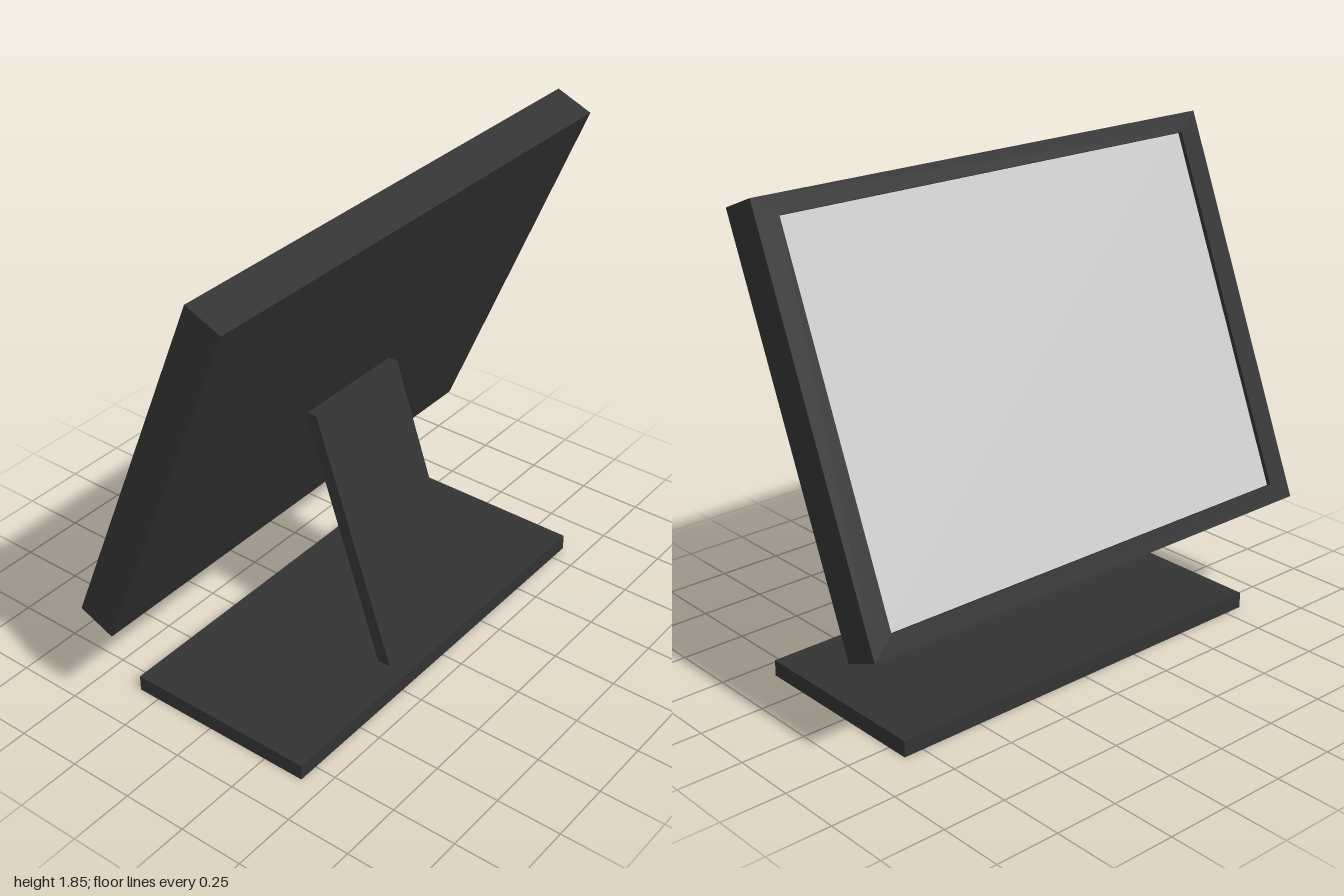
import * as THREE from 'three';

const casing = new THREE.MeshStandardMaterial({ color: 0x333333 });
casing.name = 'dark grey casing';
const glass = new THREE.MeshStandardMaterial({ color: 0xcccccc });
glass.name = 'light grey screen';

function part(name, geometry, material, x = 0, y = 0, z = 0) {
  const mesh = new THREE.Mesh(geometry, material);
  mesh.name = name;
  mesh.position.set(x, y, z);
  return mesh;
}

function rectangle(Type, w, h) {
  return new Type([[-w, -h], [w, -h], [w, h], [-w, h]].map(([x, y]) => new THREE.Vector2(x / 2, y / 2)));
}

export function createModel() {
  const model = new THREE.Group();
  model.name = 'monitor';

  // Flat foot
  model.add(part('base', new THREE.BoxGeometry(1.656, 0.062, 0.75), casing, 0, 0.031, 0.04));

  // Leaning stand: side profile (z, y) extruded across x
  const profile = new THREE.Shape([
    [0.293, 0.06], [0.345, 0.06], [0.015, 1.015], [-0.037, 1.015],
  ].map(([z, y]) => new THREE.Vector2(-z, y)));
  const standWidth = 0.466;
  const stand = new THREE.ExtrudeGeometry(profile, { depth: standWidth, bevelEnabled: false });
  stand.translate(0, 0, -standWidth / 2).rotateY(Math.PI / 2);
  model.add(part('stand', stand, casing));

  // Tilted display, screen side towards -z
  const display = new THREE.Group();
  display.name = 'display';
  const width = 2, height = 1.512, depth = 0.15, recess = 0.02;
  const openW = 1.82, openH = 1.372;

  // Solid rear housing and a bezel ring around the recessed screen
  display.add(part('housing', new THREE.BoxGeometry(width, height, depth - recess), casing, 0, 0, recess / 2));
  const ring = rectangle(THREE.Shape, width, height);
  ring.holes.push(rectangle(THREE.Path, openW, openH));
  display.add(part('bezel', new THREE.ExtrudeGeometry(ring, { depth: recess, bevelEnabled: false }), casing, 0, 0, -depth / 2));
  display.add(part('screen', new THREE.BoxGeometry(openW, openH, 0.004), glass, 0, 0, -depth / 2 + recess - 0.001));

  display.rotation.x = 0.387;
  display.position.set(0, 1.118, -0.061);
  model.add(display);

  return model;
}
